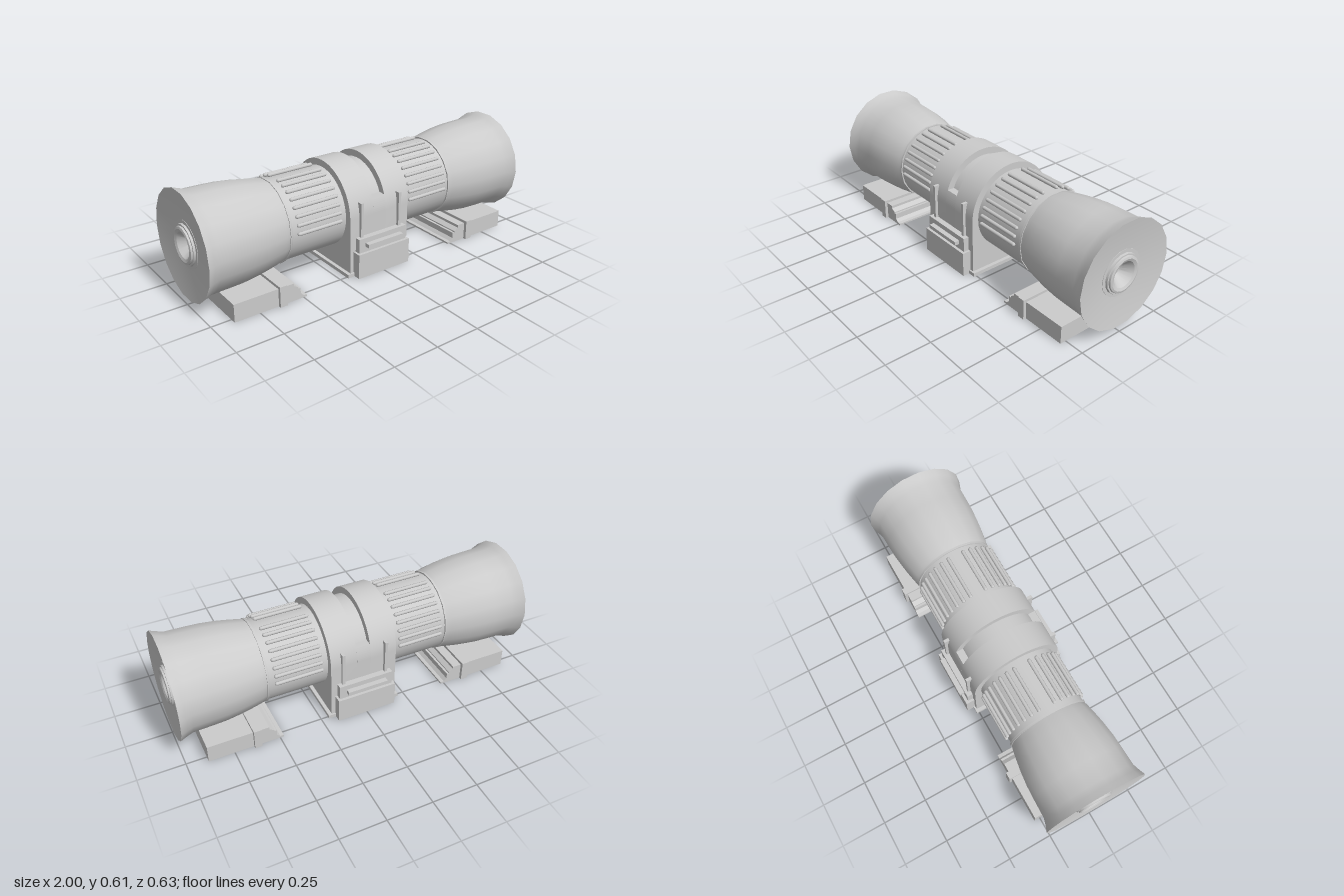
import * as THREE from 'three';
import { toCreasedNormals } from 'three/addons/utils/BufferGeometryUtils.js';

const AXIS_Y = 0.325;
const material = new THREE.MeshStandardMaterial({ color: 0xcccccc });

function add(parent, name, geometry) {
  const mesh = new THREE.Mesh(geometry, material);
  mesh.name = name;
  parent.add(mesh);
  return mesh;
}

// Box given by its min and max corners
function box(parent, name, [x0, y0, z0], [x1, y1, z1]) {
  const mesh = add(parent, name, new THREE.BoxGeometry(x1 - x0, y1 - y0, z1 - z0));
  mesh.position.set((x0 + x1) / 2, (y0 + y1) / 2, (z0 + z1) / 2);
  return mesh;
}

// Lathe around the x axis; points are [x, radius] running towards +x
function latheX(points, sides) {
  const profile = points.map(([x, r]) => new THREE.Vector2(r, x));
  const geometry = new THREE.LatheGeometry(profile, sides).rotateZ(-Math.PI / 2);
  return toCreasedNormals(geometry, 0.5);
}

// Extrude a shape drawn in (z, y) along x, from x0 to x1
function extrudeX(shape, x0, x1) {
  const geometry = new THREE.ExtrudeGeometry(shape, { depth: x1 - x0, bevelEnabled: false, curveSegments: 18 });
  geometry.rotateY(Math.PI / 2).translate(x0, 0, 0);
  return toCreasedNormals(geometry, 0.5);
}

// One end of the cylinder: flared bell, ribbed grip and foot; built on +x
function buildEnd(name) {
  const end = new THREE.Group();
  end.name = name;

  add(end, 'flaredBell', latheX([
    [0.52, 0.2], [0.52, 0.222], [0.55, 0.23], [0.6, 0.24], [0.67, 0.252],
    [0.75, 0.261], [0.82, 0.264], [0.93, 0.267], [0.965, 0.278], [1, 0.291],
    [0.975, 0.128], [0.975, 0.108],
  ], 18)).position.y = AXIS_Y;

  // Stepped nozzle ring with a conical bore
  add(end, 'nozzle', latheX([
    [0.96, 0.128], [0.977, 0.126], [0.977, 0.108], [0.988, 0.106], [0.988, 0.098],
    [0.997, 0.096], [1, 0.085], [0.994, 0.07], [0.94, 0.026], [0.94, 0],
  ], 18)).position.y = AXIS_Y;

  add(end, 'collar', latheX([[0.515, 0.2], [0.515, 0.228], [0.527, 0.228], [0.527, 0.2]], 18)).position.y = AXIS_Y;

  // Rounded ribs over the upper half of the drum
  const ribGeometry = new THREE.CapsuleGeometry(0.01, 0.25, 4, 8).rotateZ(Math.PI / 2);
  for (const side of [-1, 1]) {
    for (let k = 1; k <= 8; k++) {
      const a = side * k * Math.PI / 16;
      const rib = add(end, 'gripRib', ribGeometry);
      rib.position.set(0.355, AXIS_Y + 0.229 * Math.cos(a), 0.229 * Math.sin(a));
    }
  }

  // Foot with a stepped inner edge
  const outline = [
    [0.89, 0], [0.89, 0.098], [0.555, 0.098], [0.555, 0.083], [0.53, 0.067], [0.53, 0.06],
    [0.517, 0.06], [0.517, 0.028], [0.5, 0.012], [0.48, 0.01], [0.48, 0],
  ].map(([x, y]) => new THREE.Vector2(x, y));
  const foot = new THREE.ExtrudeGeometry(new THREE.Shape(outline), { depth: 0.566, bevelEnabled: false });
  add(end, 'foot', foot.translate(0, 0, -0.283));
  box(end, 'footStrap', [0.605, 0, -0.3], [0.645, 0.113, 0.3]);
  return end;
}

// Central cradle that wraps the drum
function buildCradle() {
  const cradle = new THREE.Group();
  cradle.name = 'cradle';
  const R = 0.256;
  const arch = new THREE.Shape();
  arch.moveTo(-R, 0);
  arch.lineTo(R, 0);
  arch.lineTo(R, AXIS_Y);
  arch.absarc(0, AXIS_Y, R, 0, Math.PI, false);
  arch.closePath();

  // Two arches leave a slot between them, closed below by a web
  add(cradle, 'arch', extrudeX(arch, 0.04, 0.19));
  add(cradle, 'arch', extrudeX(arch, -0.19, -0.04));
  const web = new THREE.Shape();
  const a = Math.asin((0.41 - AXIS_Y) / R);
  web.moveTo(-R, 0);
  web.lineTo(R, 0);
  web.lineTo(R, AXIS_Y);
  web.absarc(0, AXIS_Y, R, 0, a, false);
  web.lineTo(-R * Math.cos(a), 0.41);
  web.absarc(0, AXIS_Y, R, Math.PI - a, Math.PI, false);
  web.closePath();
  add(cradle, 'slotWeb', extrudeX(web, -0.04, 0.04));

  box(cradle, 'basePlate', [-0.21, 0, -0.265], [0.21, 0.02, 0.265]);

  // Matching fittings on front and back
  for (const s of [-1, 1]) {
    const slab = (name, x0, x1, y0, y1, depth) => {
      const z0 = s > 0 ? 0.2 : -depth;
      const z1 = s > 0 ? depth : -0.2;
      box(cradle, name, [x0, y0, z0], [x1, y1, z1]);
    };
    slab('sideBlock', -0.168, 0.168, 0, 0.139, 0.304);
    slab('sidePanel', -0.155, 0.155, 0.139, 0.218, 0.288);
    slab('handleBar', -0.115, 0.115, 0.169, 0.19, 0.316);
    for (const m of [-1, 1]) {
      slab('upright', m * 0.124 - 0.008, m * 0.124 + 0.008, 0.2, 0.41, 0.272);
    }
  }
  return cradle;
}

export function createModel() {
  const model = new THREE.Group();
  model.name = 'cradledCylinder';

  add(model, 'drum', latheX([[-0.53, 0], [-0.53, 0.219], [0.53, 0.219], [0.53, 0]], 36)).position.y = AXIS_Y;
  model.add(buildCradle());

  // The two ends match, turned half way round
  const left = buildEnd('leftEnd');
  const right = buildEnd('rightEnd');
  right.rotation.y = Math.PI;
  model.add(left, right);
  return model;
}
